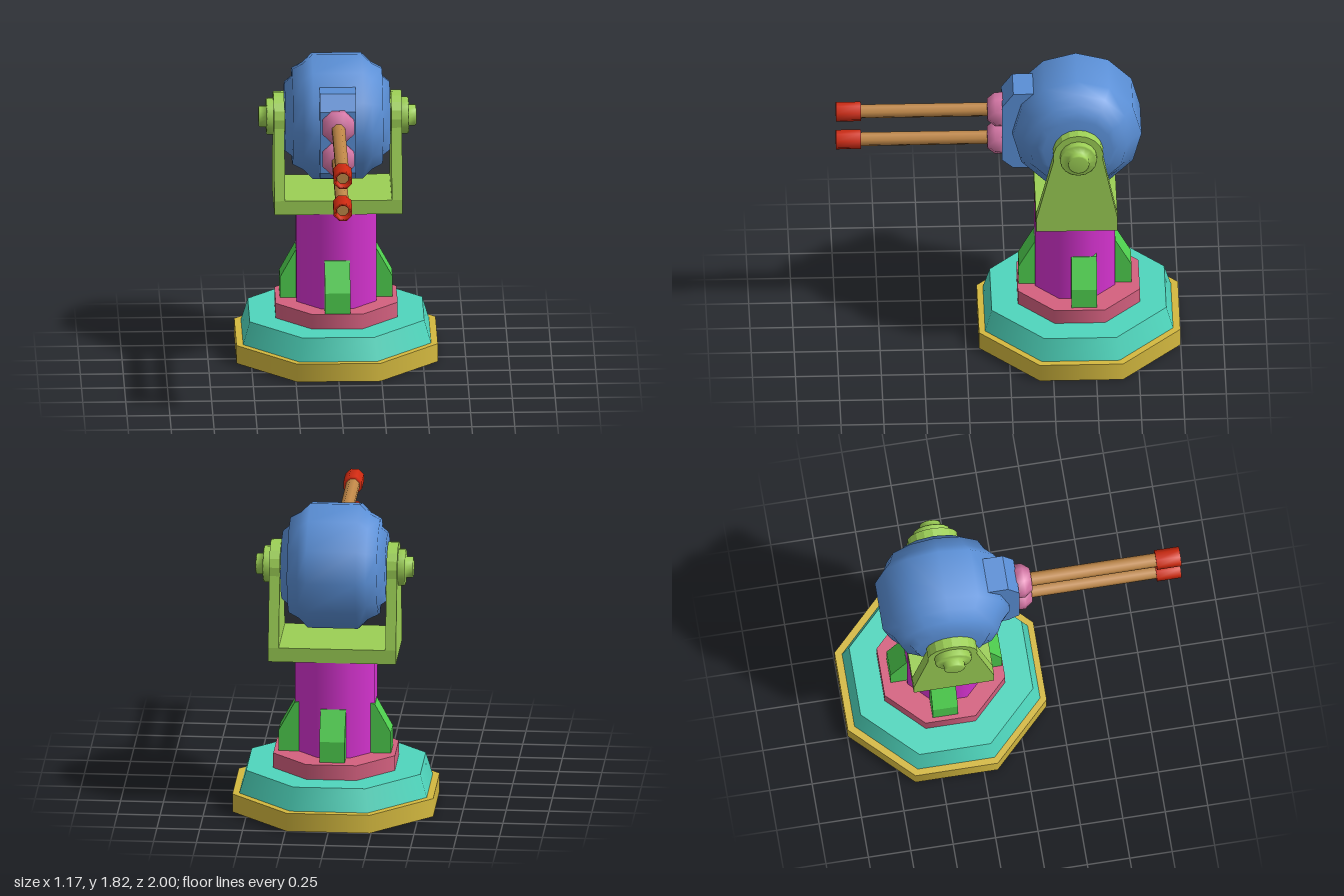
import * as THREE from 'three';

const COLORS = {
  yellow: 0xd4b93f, teal: 0x4fd6bd, pink: 0xd4607f, magenta: 0xd633d0, green: 0x4fd04f,
  lime: 0x9ccf55, blue: 0x5a8fd6, rose: 0xd878a8, brown: 0xc08848, red: 0xd02a10,
};
const materials = {};
for (const key in COLORS) {
  materials[key] = new THREE.MeshStandardMaterial({ color: COLORS[key] });
}

const OCT = 1 / Math.cos(Math.PI / 8); // flat-to-centre distance -> corner radius
const PIVOT_Y = 1.44, PIVOT_Z = -0.4;

function add(parent, name, geometry, color, x = 0, y = 0, z = 0) {
  const mesh = new THREE.Mesh(geometry, materials[color]);
  mesh.name = name;
  mesh.position.set(x, y, z);
  parent.add(mesh);
  return mesh;
}

// Octagonal prism standing on y0, sized by its flats
function octagon(bottom, top, y0, y1) {
  return new THREE.CylinderGeometry(top * OCT, bottom * OCT, y1 - y0, 8)
    .rotateY(Math.PI / 8).translate(0, (y0 + y1) / 2, 0);
}

// Turned profile of [radius, height] pairs
function lathe(points, sides) {
  return new THREE.LatheGeometry(points.map(p => new THREE.Vector2(...p)), sides);
}

// Side outline of [z, y] pairs, extruded to a given width centred on x = 0
function sidePlate(points, width) {
  const shape = new THREE.Shape(points.map(p => new THREE.Vector2(...p)));
  return new THREE.ExtrudeGeometry(shape, { depth: width, bevelEnabled: false })
    .translate(0, 0, -width / 2).rotateY(-Math.PI / 2);
}

export function createModel() {
  const model = new THREE.Group();
  model.name = 'turret';

  // Stepped octagonal base and column
  add(model, 'basePlate', octagon(0.586, 0.586, 0, 0.11), 'yellow', 0, 0, -0.412);
  add(model, 'baseStep', octagon(0.547, 0.508, 0.11, 0.245), 'teal', 0, 0, -0.409);
  add(model, 'columnPlate', octagon(0.355, 0.355, 0.245, 0.335), 'pink', 0, 0, -0.41);
  add(model, 'column', octagon(0.233, 0.233, 0.335, 0.915), 'magenta', 0, 0, -0.39);

  // Four buttresses around the column
  const buttress = sidePlate([[0.2, 0.335], [0.328, 0.335], [0.328, 0.46], [0.235, 0.63], [0.2, 0.64]], 0.148);
  for (let i = 0; i < 4; i++) {
    const fin = add(model, 'buttress', buttress, 'green', 0, 0, i % 2 ? -0.437 : -0.39);
    fin.rotation.y = i * Math.PI / 2;
  }

  // Yoke: floor plus two tapering arms with rounded tops
  const yoke = new THREE.Group();
  yoke.name = 'yoke';
  yoke.position.x = 0.007;
  model.add(yoke);
  add(yoke, 'yokeFloor', new THREE.BoxGeometry(0.64, 0.085, 0.474), 'lime', 0, 0.9575, -0.392);
  const armOutline = [[-0.629, 0.915], [-0.155, 0.915], [-0.155, 1.0]];
  for (let i = 0; i <= 10; i++) {
    const a = -0.2 + (Math.PI + 0.4) * i / 10;
    armOutline.push([PIVOT_Z + 0.147 * Math.cos(a), PIVOT_Y + 0.147 * Math.sin(a)]);
  }
  armOutline.push([-0.629, 1.0]);
  const arm = sidePlate(armOutline, 0.062);
  const pivot = lathe([[0, 0.26], [0.108, 0.26], [0.108, 0.408], [0.1, 0.415], [0.062, 0.415],
    [0.062, 0.452], [0.055, 0.459], [0, 0.459]], 16);
  for (const side of [1, -1]) {
    add(yoke, 'yokeArm', arm, 'lime', side * 0.342);
    add(yoke, 'pivotCap', pivot, 'lime', 0, PIVOT_Y, PIVOT_Z).rotation.z = -side * Math.PI / 2;
  }

  // Gun housing: twelve-sided drum turned about the x axis
  const half = [[0, 0.306], [0.205, 0.306], [0.238, 0.265], [0.287, 0.262], [0.32, 0.2], [0.375, 0.145]];
  const profile = half.map(([r, h]) => [r, -h]).concat([...half].reverse());
  add(model, 'gunHousing', lathe(profile, 12).rotateZ(Math.PI / 2), 'blue', 0.005, PIVOT_Y, PIVOT_Z);

  // Chamfered block carrying the barrels
  add(model, 'barrelMount', sidePlate([[-0.3, 1.18], [-0.03, 1.18], [0.035, 1.235],
    [0.035, 1.61], [-0.03, 1.7], [-0.3, 1.7]], 0.21), 'blue');

  // Twin barrels with collars and hollow muzzles
  const along = geometry => geometry.rotateY(Math.PI / 8).rotateX(Math.PI / 2);
  const collar = along(lathe([[0, 0], [0.1, 0], [0.1, 0.075], [0.066, 0.12], [0, 0.12]], 8));
  const barrel = along(new THREE.CylinderGeometry(0.041, 0.041, 0.86, 8).translate(0, 0.53, 0));
  const muzzle = along(lathe([[0.036, 0.855], [0.058, 0.855], [0.058, 1], [0.04, 1], [0.036, 0.95]], 8));
  for (const y of [1.525, 1.328]) {
    add(model, 'barrelCollar', collar, 'rose', 0, y);
    add(model, 'barrel', barrel, 'brown', 0, y);
    add(model, 'muzzle', muzzle, 'red', 0, y);
  }
  return model;
}
